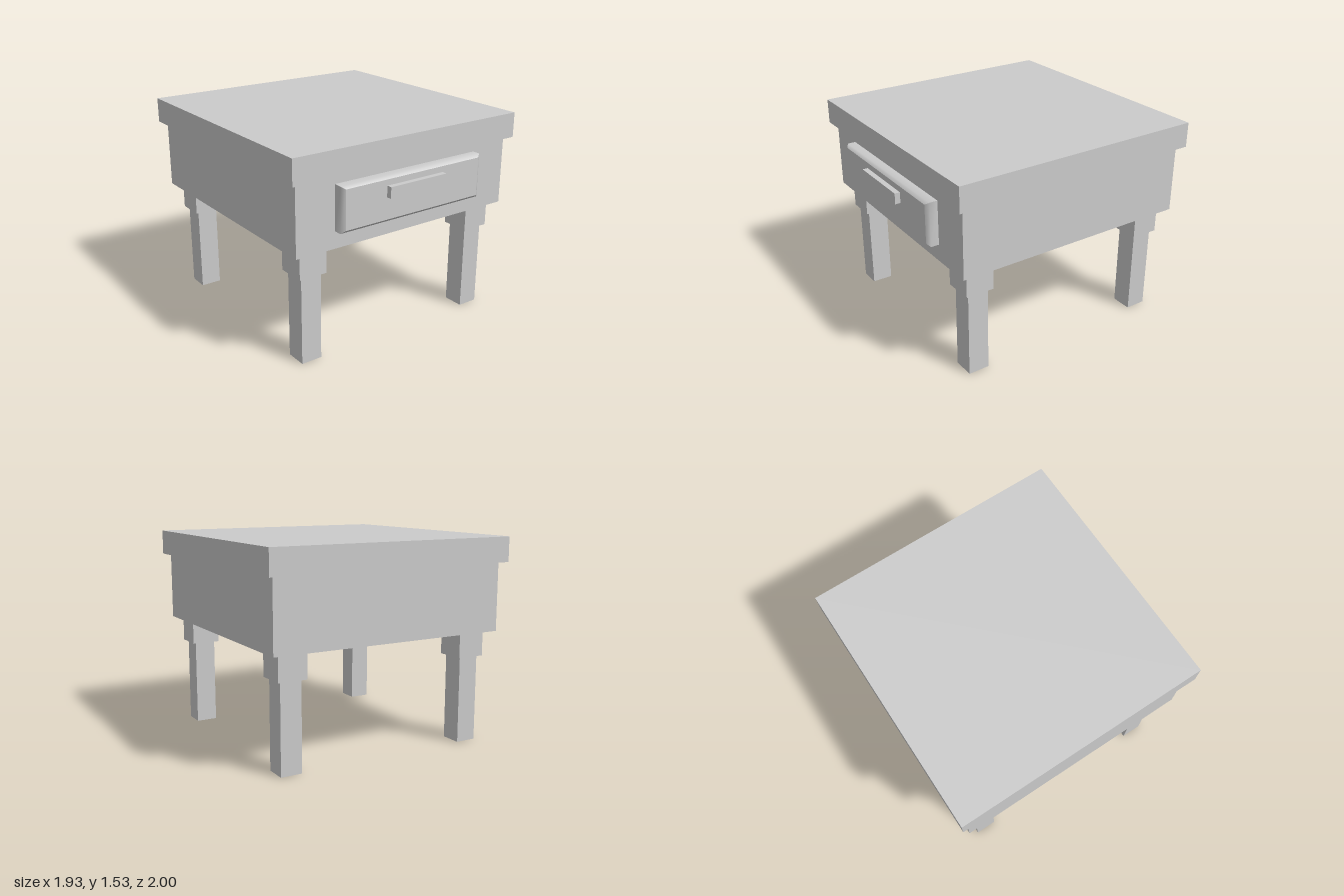
import * as THREE from 'three';

const material = new THREE.MeshStandardMaterial({ color: 0xcccccc });

// Box given by its [min, max] extents on each axis
function block(name, [x0, x1], [y0, y1], [z0, z1]) {
  const mesh = new THREE.Mesh(new THREE.BoxGeometry(x1 - x0, y1 - y0, z1 - z0), material);
  mesh.position.set((x0 + x1) / 2, (y0 + y1) / 2, (z0 + z1) / 2);
  mesh.name = name;
  return mesh;
}

// Drawer front: a slab whose front rim is chamfered
function drawerFront() {
  const halfW = 0.612, halfH = 0.162, back = 0.88, rim = 0.94, front = 0.96;
  const geometry = new THREE.BoxGeometry(halfW * 2, halfH * 2, 2, 1, 1, 2);
  const p = geometry.attributes.position;
  for (let i = 0; i < p.count; i++) {
    const layer = Math.round(p.getZ(i));
    if (layer === 1) {
      p.setX(i, Math.sign(p.getX(i)) * (halfW - 0.03));
      p.setY(i, Math.sign(p.getY(i)) * (halfH - 0.02));
    }
    p.setZ(i, [back, rim, front][layer + 1]);
  }
  geometry.computeVertexNormals();
  const mesh = new THREE.Mesh(geometry, material);
  mesh.position.y = 1.127;
  mesh.name = 'drawerFront';
  return mesh;
}

// Square leg with a wider collar at the top
function leg(name, x, z) {
  const group = new THREE.Group();
  group.name = name;
  group.add(
    block('legPost', [-0.079, 0.079], [0, 0.65], [-0.079, 0.079]),
    block('legCollar', [-0.107, 0.107], [0.65, 0.84], [-0.107, 0.107])
  );
  group.position.set(x, 0, z);
  return group;
}

export function createModel() {
  const table = new THREE.Group();
  table.name = 'sideTable';
  table.add(
    block('tableTop', [-0.963, 0.963], [1.35, 1.535], [-1, 0.928]),
    block('cabinet', [-0.915, 0.915], [0.84, 1.35], [-0.948, 0.88]),
    drawerFront(),
    block('drawerHandle', [-0.245, 0.245], [1.145, 1.226], [0.96, 1])
  );
  for (const [side, x] of [['Left', 0.742], ['Right', -0.742]]) {
    table.add(leg('front' + side + 'Leg', x, 0.712), leg('back' + side + 'Leg', x, -0.773));
  }
  return table;
}
